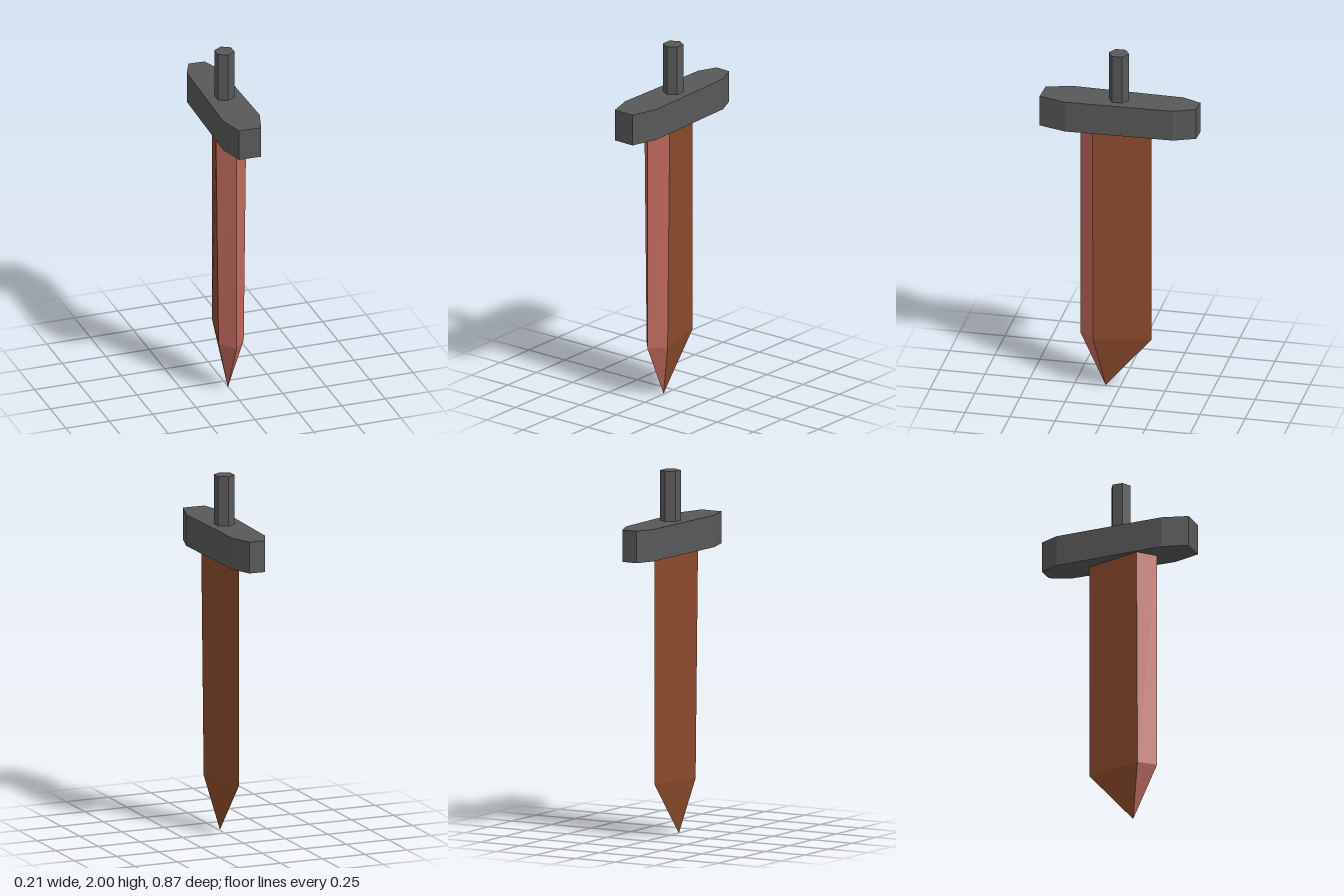
import * as THREE from 'three';

const steel = (color) => new THREE.MeshStandardMaterial({ color, flatShading: true, side: THREE.DoubleSide });

// Kite-shaped cross-section: front edge, left shoulder, back edge, right shoulder
const section = (y, right, left) => [[-0.006, y, 0.22], [left, y, 0.135], [-0.006, y, -0.175], [right, y, 0.135]];

// Chosen sides of the blade, each a long quad plus its triangle of the point
function bladeSides(sides) {
  const top = section(1.55, -0.094, 0.08);
  const low = section(0.3, -0.079, 0.066);
  const tip = [-0.006, 0, 0.08];
  const corners = [];
  for (const i of sides) {
    const j = (i + 1) % 4;
    corners.push(low[i], low[j], top[j], low[i], top[j], top[i], tip, low[j], low[i]);
  }
  const geometry = new THREE.BufferGeometry();
  geometry.setAttribute('position', new THREE.Float32BufferAttribute(corners.flat(), 3));
  geometry.computeVertexNormals();
  return geometry;
}

export function createModel() {
  const group = new THREE.Group();
  const add = (name, geometry, material) => {
    const mesh = new THREE.Mesh(geometry, material);
    mesh.name = name;
    group.add(mesh);
    return mesh;
  };
  const dark = steel(0x585858);

  // Blade: short bevel at the front, broad faces running to the back edge
  add('bladeBevel', bladeSides([0, 3]), steel(0xc06a5e));
  add('bladeFlats', bladeSides([1, 2]), steel(0x8b4a2c));

  // Crossguard: slightly uneven eight-sided bar, outline in x and z
  const outline = [
    [-0.047, -0.436], [0.043, -0.432], [0.092, -0.316], [0.105, 0.283],
    [0.059, 0.433], [-0.067, 0.428], [-0.107, 0.285], [-0.093, -0.333],
  ].map(([x, z]) => new THREE.Vector2(x, -z));
  const guard = new THREE.ExtrudeGeometry(new THREE.Shape(outline), { depth: 0.175, bevelEnabled: false });
  guard.rotateX(-Math.PI / 2);
  add('crossguard', guard, dark).position.y = 1.55;

  // Six-sided grip
  add('grip', new THREE.CylinderGeometry(0.056, 0.056, 0.275, 6), dark).position.set(0.002, 1.8625, 0.005);

  return group;
}
